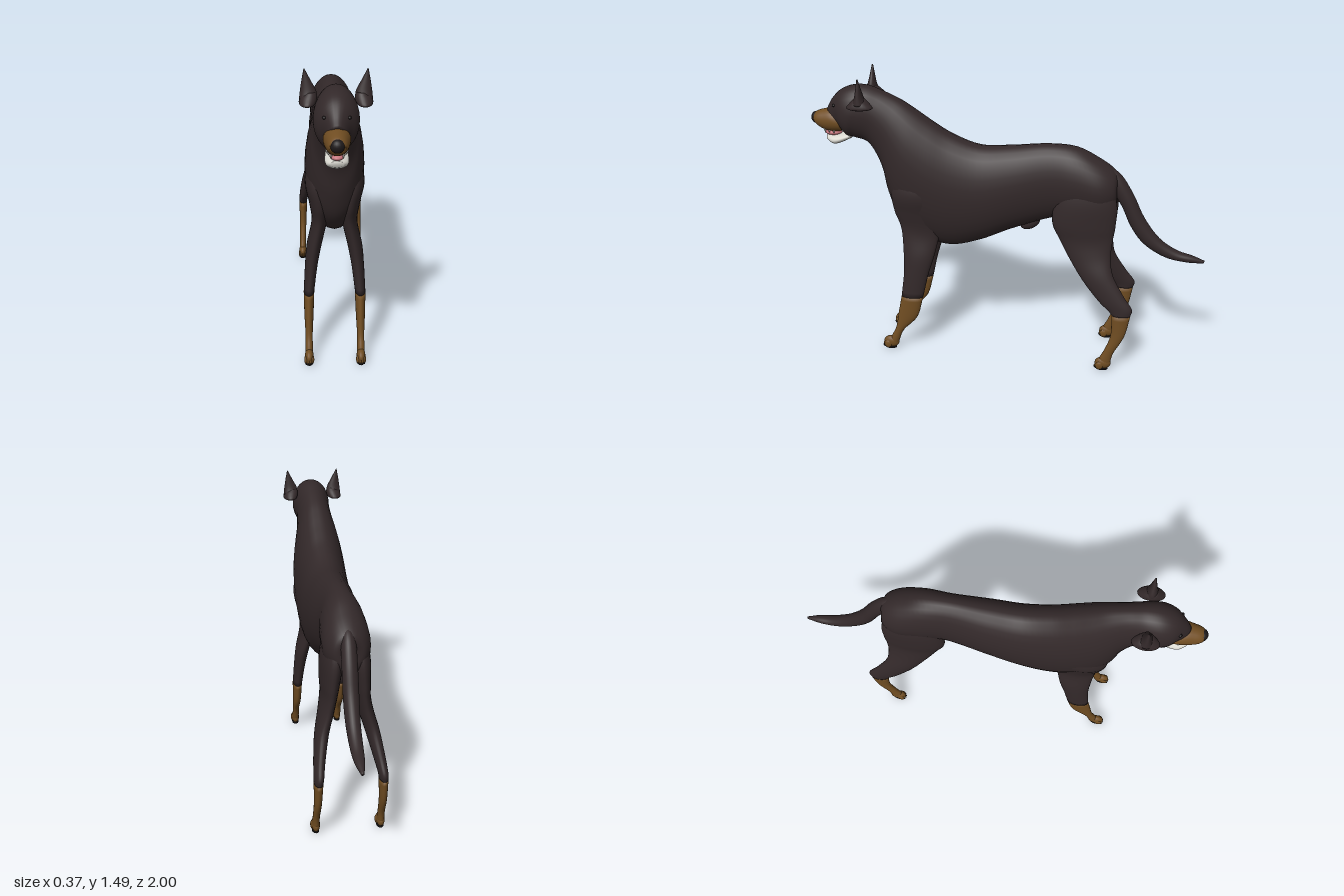
import * as THREE from 'three';

const mat = (name, color) => {
  const m = new THREE.MeshStandardMaterial({ color });
  m.name = name;
  return m;
};

// Smooth skin over elliptical rings. Each ring is [za, ya, zb, yb, x, halfWidth]:
// two opposite points of the side outline, the centre in x and half the width.
function loft(rings, steps = 5, sides = 28) {
  const curve = (f) => new THREE.CatmullRomCurve3(rings.map(f), false, 'catmullrom', 0.5);
  const ca = curve((r) => new THREE.Vector3(0, r[1], r[0]));
  const cb = curve((r) => new THREE.Vector3(0, r[3], r[2]));
  const cw = curve((r) => new THREE.Vector3(r[4], r[5], 0));
  const n = (rings.length - 1) * steps;
  const pos = [], idx = [];
  for (let i = 0; i <= n; i++) {
    const a = ca.getPoint(i / n), b = cb.getPoint(i / n), w = cw.getPoint(i / n);
    for (let j = 0; j < sides; j++) {
      const t = (j / sides) * Math.PI * 2, k = (1 + Math.cos(t)) / 2;
      pos.push(w.x + w.y * Math.sin(t), b.y + (a.y - b.y) * k, b.z + (a.z - b.z) * k);
      if (i < n) {
        const p = i * sides + j, q = i * sides + ((j + 1) % sides);
        idx.push(p, p + sides, q, q, p + sides, q + sides);
      }
    }
  }
  // End caps
  for (const i of [0, n]) {
    const a = ca.getPoint(i / n), b = cb.getPoint(i / n), c = pos.length / 3;
    pos.push(cw.getPoint(i / n).x, (a.y + b.y) / 2, (a.z + b.z) / 2);
    for (let j = 0; j < sides; j++) {
      const p = i * sides + j, q = i * sides + ((j + 1) % sides);
      if (i === 0) idx.push(c, p, q); else idx.push(c, q, p);
    }
  }
  const g = new THREE.BufferGeometry();
  g.setAttribute('position', new THREE.Float32BufferAttribute(pos, 3));
  g.setIndex(idx);
  g.computeVertexNormals();
  return g;
}

export function createModel() {
  const model = new THREE.Group();
  model.name = 'dog';
  const coat = mat('dark coat', 0x322829);
  const tan = mat('tan markings', 0x704d22);
  const black = mat('nose and pads', 0x1d191a);
  const white = mat('white jaw', 0xd9d8d0);
  const pink = mat('tongue', 0xc4757c);

  const add = (name, geo, material, parent = model) => {
    const m = new THREE.Mesh(geo, material);
    m.name = name;
    parent.add(m);
    return m;
  };
  const blob = (name, material, [x, y, z], [rx, ry, rz], parent) => {
    const m = add(name, new THREE.SphereGeometry(1, 18, 12), material, parent);
    m.position.set(x, y, z);
    m.scale.set(rx, ry, rz);
    return m;
  };

  // Trunk, neck and skull, rump to brow
  add('body', loft([
    [-0.555, 1.02, -0.545, 0.93, 0, 0.03],
    [-0.525, 1.055, -0.545, 0.86, 0, 0.08],
    [-0.45, 1.105, -0.47, 0.80, 0, 0.112],
    [-0.34, 1.157, -0.33, 0.79, 0, 0.11],
    [-0.2, 1.166, -0.22, 0.775, 0, 0.1],
    [-0.02, 1.147, -0.02, 0.70, 0, 0.12],
    [0.14, 1.14, 0.14, 0.627, 0, 0.131],
    [0.28, 1.19, 0.3, 0.587, 0, 0.137],
    [0.38, 1.25, 0.45, 0.63, 0, 0.139],
    [0.46, 1.305, 0.56, 0.73, 0, 0.131],
    [0.52, 1.345, 0.612, 0.86, 0, 0.114],
    [0.575, 1.373, 0.64, 1.0, 0, 0.098],
    [0.635, 1.398, 0.70, 1.12, 0, 0.09],
    [0.70, 1.42, 0.775, 1.15, 0, 0.096],
    [0.77, 1.42, 0.805, 1.155, 0, 0.098],
    [0.835, 1.395, 0.825, 1.17, 0, 0.084],
    [0.885, 1.345, 0.833, 1.178, 0, 0.057],
    [0.912, 1.297, 0.845, 1.185, 0, 0.04],
  ]), coat);

  add('muzzle', loft([
    [0.845, 1.28, 0.835, 1.18, 0, 0.058],
    [0.89, 1.294, 0.875, 1.175, 0, 0.058],
    [0.935, 1.287, 0.915, 1.178, 0, 0.051],
    [0.968, 1.276, 0.95, 1.192, 0, 0.043],
    [0.985, 1.262, 0.972, 1.21, 0, 0.033],
  ]), tan);
  blob('nose', black, [0, 1.242, 0.974], [0.03, 0.03, 0.026]);

  // Open mouth
  add('lowerJaw', loft([
    [0.79, 1.18, 0.795, 1.145, 0, 0.046],
    [0.85, 1.165, 0.85, 1.118, 0, 0.051],
    [0.89, 1.16, 0.885, 1.11, 0, 0.047],
    [0.922, 1.156, 0.915, 1.127, 0, 0.028],
  ]), white);
  blob('tongue', pink, [0, 1.17, 0.89], [0.032, 0.016, 0.044]);

  // Tail
  add('tail', loft([
    [-0.45, 0.98, -0.44, 1.09, 0.002, 0.03],
    [-0.505, 0.955, -0.55, 1.04, 0.006, 0.036],
    [-0.57, 0.87, -0.625, 0.935, 0.01, 0.037],
    [-0.622, 0.76, -0.69, 0.804, 0.013, 0.037],
    [-0.69, 0.67, -0.77, 0.70, 0.016, 0.034],
    [-0.795, 0.605, -0.86, 0.64, 0.017, 0.03],
    [-0.9, 0.583, -0.94, 0.617, 0.019, 0.023],
    [-0.992, 0.58, -1.0, 0.595, 0.02, 0.007],
  ]), coat);
  const sheath = blob('sheath', coat, [0, 0.735, -0.115], [0.026, 0.032, 0.055]);
  sheath.rotation.x = 0.5;

  const paw = (parent, x, z) => {
    blob('paw', tan, [x, 0.036, z], [0.021, 0.033, 0.042], parent);
    for (const k of [-1.5, -0.5, 0.5, 1.5]) {
      const reach = z + 0.026 - Math.abs(k) * 0.006;
      blob('toe', tan, [x + k * 0.01, 0.025, reach], [0.009, 0.022, 0.02], parent);
      blob('claw', black, [x + k * 0.01, 0.013, reach + 0.015], [0.003, 0.006, 0.008], parent);
    }
    const pad = add('pad', new THREE.CylinderGeometry(1, 1, 0.008, 18), black, parent);
    pad.position.set(x, 0.004, z + 0.004);
    pad.scale.set(0.018, 1, 0.03);
  };

  for (const s of [1, -1]) {
    const side = s > 0 ? 'left' : 'right';
    const at = (rings) => loft(rings.map((r) => [...r.slice(0, 4), r[4] * s, r[5]]));

    // Front leg
    const front = new THREE.Group();
    front.name = side + 'FrontLeg';
    model.add(front);
    add('upperLeg', at([
      [0.53, 1.04, 0.32, 1.0, 0.07, 0.04],
      [0.58, 0.9, 0.32, 0.88, 0.082, 0.057],
      [0.575, 0.79, 0.33, 0.77, 0.07, 0.05],
      [0.543, 0.69, 0.345, 0.66, 0.071, 0.037],
      [0.53, 0.55, 0.37, 0.55, 0.097, 0.035],
      [0.53, 0.45, 0.40, 0.45, 0.111, 0.03],
      [0.545, 0.32, 0.43, 0.32, 0.123, 0.025],
    ]), coat, front);
    add('lowerLeg', at([
      [0.545, 0.32, 0.43, 0.32, 0.123, 0.0255],
      [0.565, 0.22, 0.465, 0.20, 0.124, 0.022],
      [0.582, 0.13, 0.54, 0.115, 0.124, 0.017],
      [0.605, 0.08, 0.568, 0.05, 0.124, 0.018],
      [0.62, 0.05, 0.575, 0.025, 0.124, 0.018],
    ]), tan, front);
    paw(front, 0.124 * s, 0.612);

    // Hind leg
    const hind = new THREE.Group();
    hind.name = side + 'HindLeg';
    model.add(hind);
    add('thigh', at([
      [-0.33, 1.08, -0.49, 1.04, 0.05, 0.03],
      [-0.25, 0.91, -0.55, 0.9, 0.062, 0.052],
      [-0.235, 0.78, -0.55, 0.78, 0.073, 0.047],
      [-0.275, 0.69, -0.54, 0.7, 0.08, 0.038],
      [-0.325, 0.6, -0.535, 0.62, 0.096, 0.036],
      [-0.40, 0.49, -0.55, 0.53, 0.123, 0.034],
      [-0.485, 0.39, -0.61, 0.425, 0.144, 0.028],
      [-0.535, 0.345, -0.655, 0.36, 0.153, 0.024],
      [-0.555, 0.32, -0.65, 0.32, 0.156, 0.022],
    ]), coat, hind);
    add('hock', at([
      [-0.555, 0.32, -0.65, 0.32, 0.156, 0.0225],
      [-0.555, 0.2, -0.625, 0.2, 0.158, 0.019],
      [-0.525, 0.11, -0.575, 0.1, 0.16, 0.017],
      [-0.505, 0.07, -0.56, 0.04, 0.161, 0.018],
      [-0.5, 0.05, -0.555, 0.025, 0.161, 0.018],
    ]), tan, hind);
    paw(hind, 0.161 * s, -0.522);

    // Cropped ear: folded base and an upright pointed tip
    add(side + 'EarBase', at([
      [0.68, 1.332, 0.75, 1.332, 0.122, 0.02],
      [0.645, 1.342, 0.775, 1.342, 0.121, 0.036],
      [0.665, 1.368, 0.755, 1.368, 0.115, 0.036],
      [0.69, 1.39, 0.735, 1.39, 0.108, 0.022],
    ]), coat);
    add(side + 'EarTip', at([
      [0.675, 1.36, 0.745, 1.36, 0.118, 0.038],
      [0.688, 1.395, 0.732, 1.395, 0.118, 0.034],
      [0.697, 1.44, 0.721, 1.44, 0.126, 0.019],
      [0.705, 1.489, 0.711, 1.489, 0.134, 0.002],
    ]), coat);

    // Eye and upper fangs
    blob(side + 'Eye', black, [0.052 * s, 1.325, 0.862], [0.009, 0.007, 0.009]);
    for (const [x, z, h] of [[0.026, 0.925, 0.02], [0.036, 0.9, 0.014], [0.042, 0.875, 0.014]]) {
      const tooth = add(side + 'Tooth', new THREE.ConeGeometry(0.006, h, 8), white);
      tooth.position.set(x * s, 1.187 - h / 2, z);
      tooth.rotation.x = Math.PI;
    }
  }
  return model;
}
